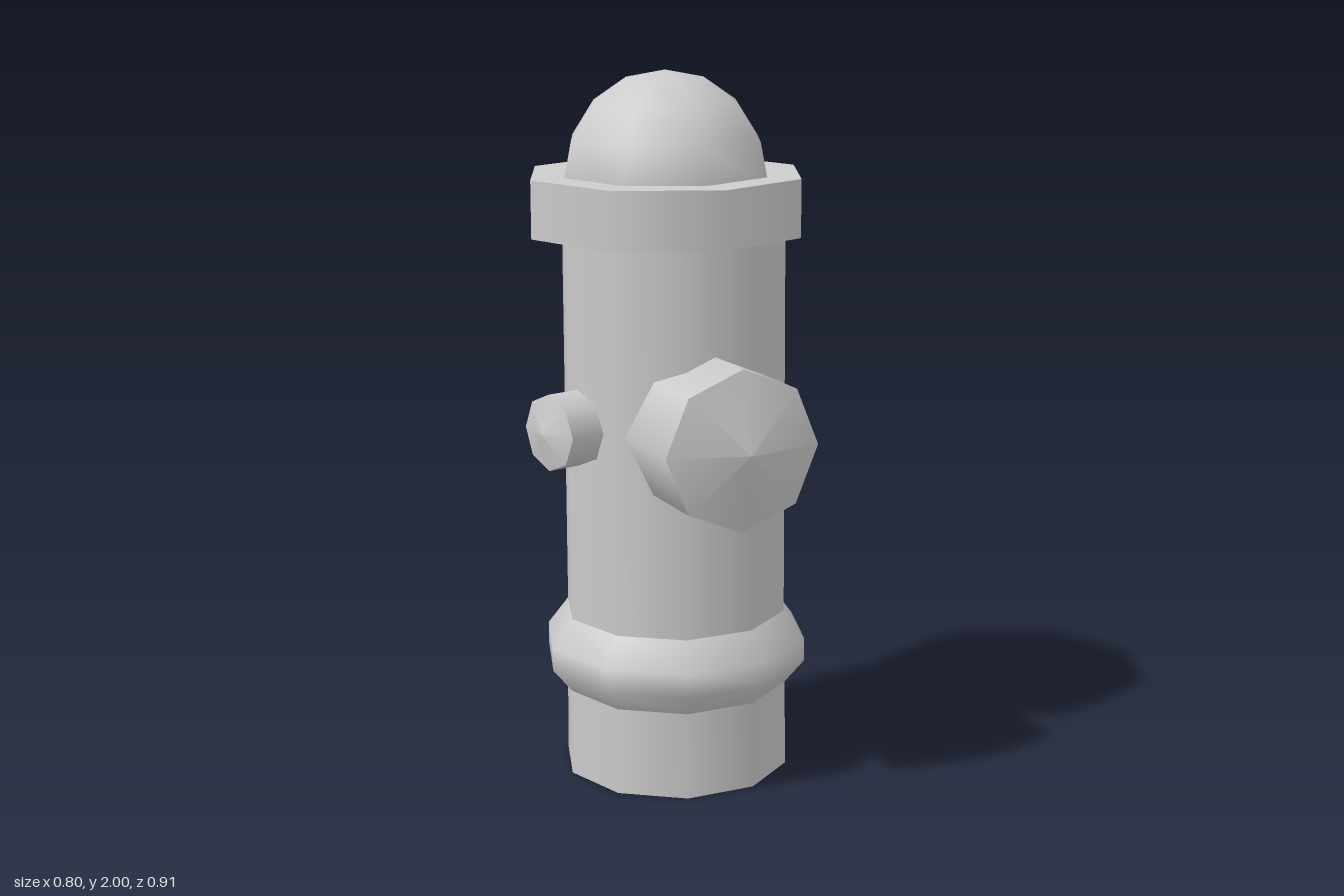
import * as THREE from 'three';

const material = new THREE.MeshStandardMaterial({ color: 0xcccccc });
const openMaterial = new THREE.MeshStandardMaterial({ color: 0xcccccc, side: THREE.DoubleSide });

function addMesh(parent, name, geometry, mat = material) {
  const mesh = new THREE.Mesh(geometry, mat);
  mesh.name = name;
  parent.add(mesh);
  return mesh;
}

// Stubby eight-sided outlet with a shallow pointed end, aimed at a heading around y
function addOutlet(parent, name, radius, length, tip, end, heading) {
  const outlet = new THREE.Group();
  outlet.name = name;
  const barrel = new THREE.CylinderGeometry(radius, radius, length, 8);
  barrel.translate(0, -length / 2, 0).rotateX(Math.PI / 2);
  addMesh(outlet, name + 'Barrel', barrel);
  const cover = new THREE.ConeGeometry(radius, tip, 8, 1, true);
  cover.translate(0, tip / 2, 0).rotateX(Math.PI / 2);
  addMesh(outlet, name + 'Cover', cover);
  outlet.position.set(...end);
  outlet.rotation.y = heading;
  parent.add(outlet);
}

export function createModel() {
  const model = new THREE.Group();
  model.name = 'hydrant';

  // Slightly leaning post
  const post = new THREE.Group();
  post.name = 'post';
  post.position.set(0.045, 0.006, -0.08);
  post.rotation.set(0.012, 0, 0.0175);
  model.add(post);

  // Hollow foot, open underneath
  const foot = addMesh(post, 'foot', new THREE.CylinderGeometry(0.322, 0.325, 0.25, 10, 1, true), openMaterial);
  foot.position.y = 0.125;
  const footCeiling = addMesh(post, 'footCeiling', new THREE.CircleGeometry(0.322, 10, Math.PI / 2), openMaterial);
  footCeiling.rotation.x = Math.PI / 2;
  footCeiling.position.y = 0.252;

  // Bulging collar
  const collar = [[0.322, 0.25], [0.378, 0.318], [0.378, 0.385], [0.318, 0.465]];
  addMesh(post, 'collar', new THREE.LatheGeometry(collar.map(p => new THREE.Vector2(...p)), 10));

  // Tall barrel
  const barrel = addMesh(post, 'barrel', new THREE.CylinderGeometry(0.316, 0.318, 1.15, 10));
  barrel.position.y = 1.035;

  // Flange and dome, eight-sided and turned off the barrel's corners
  const head = new THREE.Group();
  head.name = 'head';
  head.position.set(-0.003, 1.64, -0.068);
  head.rotation.set(0.012, 0, 0.0135);
  model.add(head);
  const turn = THREE.MathUtils.degToRad(26.5);
  const flange = addMesh(head, 'flange', new THREE.CylinderGeometry(0.394, 0.394, 0.16, 8));
  flange.rotation.y = turn;
  const dome = addMesh(head, 'dome', new THREE.SphereGeometry(0.3, 8, 4, 0, Math.PI * 2, 0, Math.PI / 2));
  dome.rotation.y = turn;
  dome.position.y = 0.06;

  // Large front outlet and small side outlet
  addOutlet(model, 'frontOutlet', 0.222, 0.3, 0.055, [-0.136, 1.032, 0.385], -0.322);
  addOutlet(model, 'sideOutlet', 0.107, 0.2, 0.027, [-0.375, 1.032, -0.13], -Math.PI / 2 - 0.04);

  return model;
}
